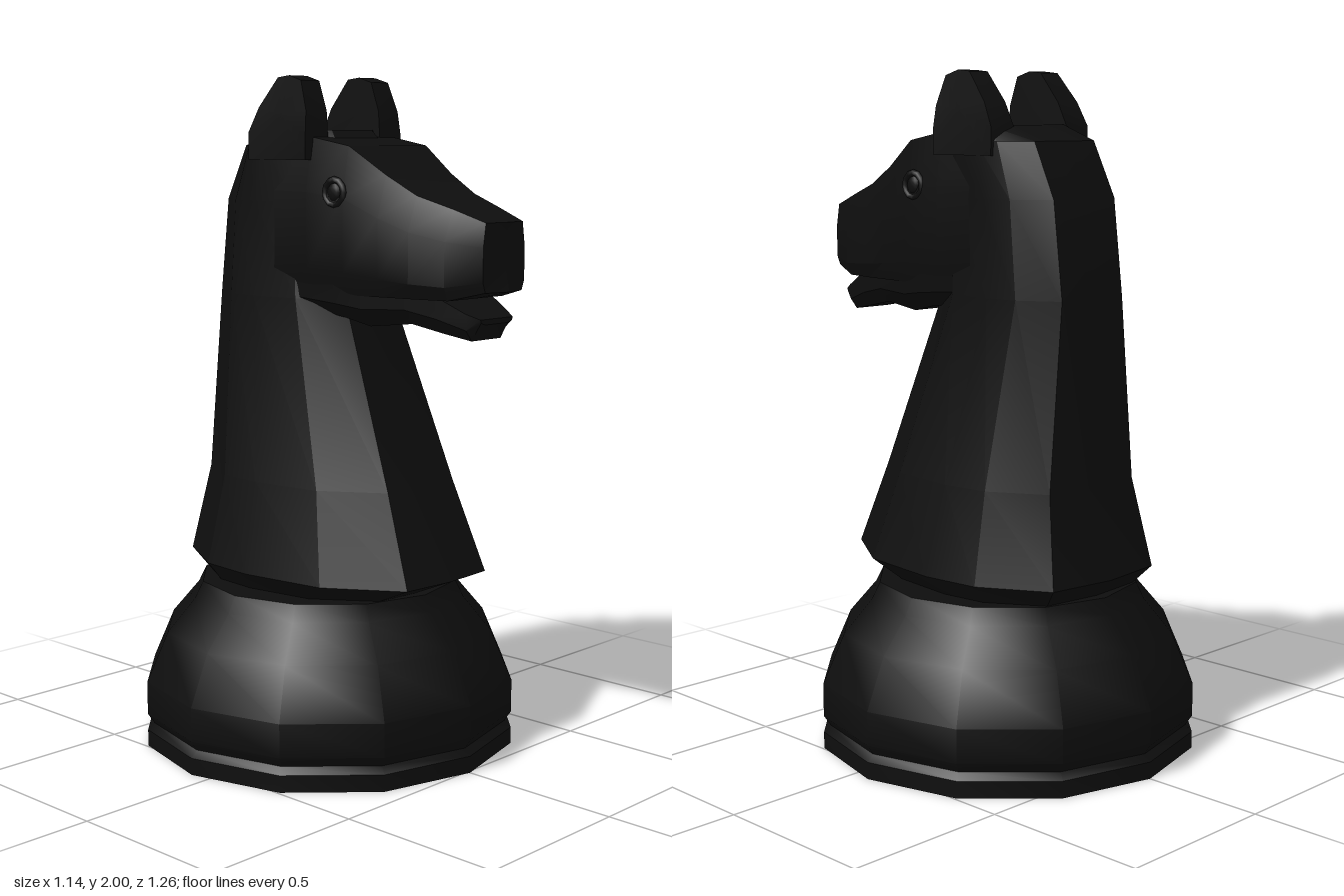
import * as THREE from 'three';
import { toCreasedNormals } from 'three/addons/utils/BufferGeometryUtils.js';

// Skin a list of rings (each a loop of [x, y, z]) and close both ends
function loft(rings, crease = 0.4) {
  const n = rings[0].length, pos = rings.flat(), index = [];
  rings.slice(1).forEach((_, r) => {
    for (let i = 0; i < n; i++) {
      const a = r * n + i, b = r * n + (i + 1) % n;
      index.push(a, b, b + n, a, b + n, a + n);
    }
  });
  [0, rings.length - 1].forEach((r, end) => {
    const c = pos.length;
    pos.push([0, 1, 2].map(k => rings[r].reduce((s, p) => s + p[k], 0) / n));
    for (let i = 0; i < n; i++) {
      const a = r * n + i, b = r * n + (i + 1) % n;
      index.push(c, end ? a : b, end ? b : a);
    }
  });
  // Turn the faces outward when the enclosed volume is negative
  let volume = 0;
  const v = pos.map(p => new THREE.Vector3(...p));
  for (let i = 0; i < index.length; i += 3)
    volume += v[index[i]].dot(v[index[i + 1]].clone().cross(v[index[i + 2]]));
  if (volume < 0) index.reverse();
  const geo = new THREE.BufferGeometry();
  geo.setAttribute('position', new THREE.Float32BufferAttribute(pos.flat(), 3));
  geo.setIndex(index);
  return toCreasedNormals(geo, crease);
}

// Complete a half outline that starts and ends on the centre plane
const mirrorX = half => [...half, ...half.slice(1, -1).reverse().map(([x, y, z]) => [-x, y, z])];

export function createModel() {
  const group = new THREE.Group();
  const black = new THREE.MeshStandardMaterial({ color: 0x0e0e0e, side: THREE.DoubleSide });
  black.name = 'black';
  const add = (name, geo) => {
    const mesh = new THREE.Mesh(geo, black);
    mesh.name = name;
    group.add(mesh);
    return mesh;
  };

  // Hollow twelve-sided foot, open underneath
  const profile = [[0.57, 0], [0.57, 0.05], [0.55, 0.07], [0.57, 0.1], [0.57, 0.2],
    [0.505, 0.35], [0.42, 0.45], [0.395, 0.5], [0.25, 0.5]];
  const foot = new THREE.LatheGeometry(profile.map(p => new THREE.Vector2(...p)), 12);
  add('base', toCreasedNormals(foot, 0.6)).position.z = -0.06;

  // Neck: height, back z, front z, half width
  const outline = [[0, -1], [0.62, -0.94], [0.95, -0.5], [1, -0.1], [0.9, 0.5], [0.5, 0.97], [0, 1]];
  const neck = [
    [0.5, -0.42, 0.3, 0.3], [0.555, -0.475, 0.43, 0.345], [0.82, -0.42, 0.325, 0.285],
    [1.36, -0.41, 0.115, 0.205], [1.64, -0.375, 0.1, 0.205], [1.8, -0.295, 0.08, 0.2],
    [1.845, -0.19, 0.04, 0.17],
  ].map(([y, back, front, w]) => mirrorX(outline.map(([u, t]) =>
    [u * w, y, (back + front) / 2 + t * (front - back) / 2])));
  add('neck', loft(neck));

  // Upper head: z, top y, bottom y, half width of the top, half width of the cheeks
  const head = [
    [-0.15, 1.83, 1.38, 0.17, 0.195], [0.04, 1.825, 1.38, 0.17, 0.195],
    [0.18, 1.8, 1.38, 0.165, 0.19], [0.3, 1.72, 1.38, 0.14, 0.175],
    [0.4, 1.665, 1.38, 0.125, 0.16], [0.51, 1.63, 1.38, 0.1, 0.135],
    [0.61, 1.595, 1.405, 0.08, 0.09],
  ].map(([z, top, bottom, wt, wm]) => {
    const h = top - bottom, tip = z > 0.6 ? 0.02 : 0;
    return mirrorX([[0, top, z + tip / 2], [wt, top, z], [wm, top - 0.35 * h, z],
      [wm, bottom + 0.15 * h, z], [wm * 0.88, bottom, z], [0, bottom, z + tip]]);
  });
  add('head', loft(head));

  // Lower jaw: z, top y, bottom y, half width
  const jaw = [
    [-0.1, 1.42, 1.34, 0.185], [0.13, 1.42, 1.31, 0.18], [0.22, 1.42, 1.29, 0.165],
    [0.36, 1.41, 1.305, 0.135], [0.46, 1.39, 1.285, 0.115], [0.55, 1.345, 1.268, 0.09],
    [0.587, 1.33, 1.315, 0.07],
  ].map(([z, top, bottom, w]) => mirrorX([[0, top, z], [w, top, z],
    [w * 0.97, bottom + 0.4 * (top - bottom), z], [w * 0.7, bottom, z], [0, bottom, z]]));
  add('lowerJaw', loft(jaw));

  // Ears and eyes on both sides
  const ear = [[0.045, 1.76], [0.045, 1.83], [0.04, 1.9], [0.01, 1.985], [-0.04, 2],
    [-0.085, 1.995], [-0.155, 1.91], [-0.19, 1.84], [-0.19, 1.76]];
  for (const [side, s] of [['left', 1], ['right', -1]]) {
    const inner = ear.map(([z, y]) => [s * 0.11, y, z]);
    const outer = ear.map(([z, y]) => [s * (0.203 - Math.max(0, y - 1.83) * 0.12), y, z]);
    add(side + 'Ear', loft([inner, outer], 0.6));

    const rim = add(side + 'EyeRim', new THREE.TorusGeometry(0.036, 0.01, 6, 12));
    rim.rotation.y = Math.PI / 2;
    rim.position.set(s * 0.187, 1.67, 0.145);
    const eye = add(side + 'Eye', new THREE.SphereGeometry(0.026, 10, 6));
    eye.scale.x = 0.4;
    eye.position.set(s * 0.187, 1.67, 0.145);
  }
  return group;
}
